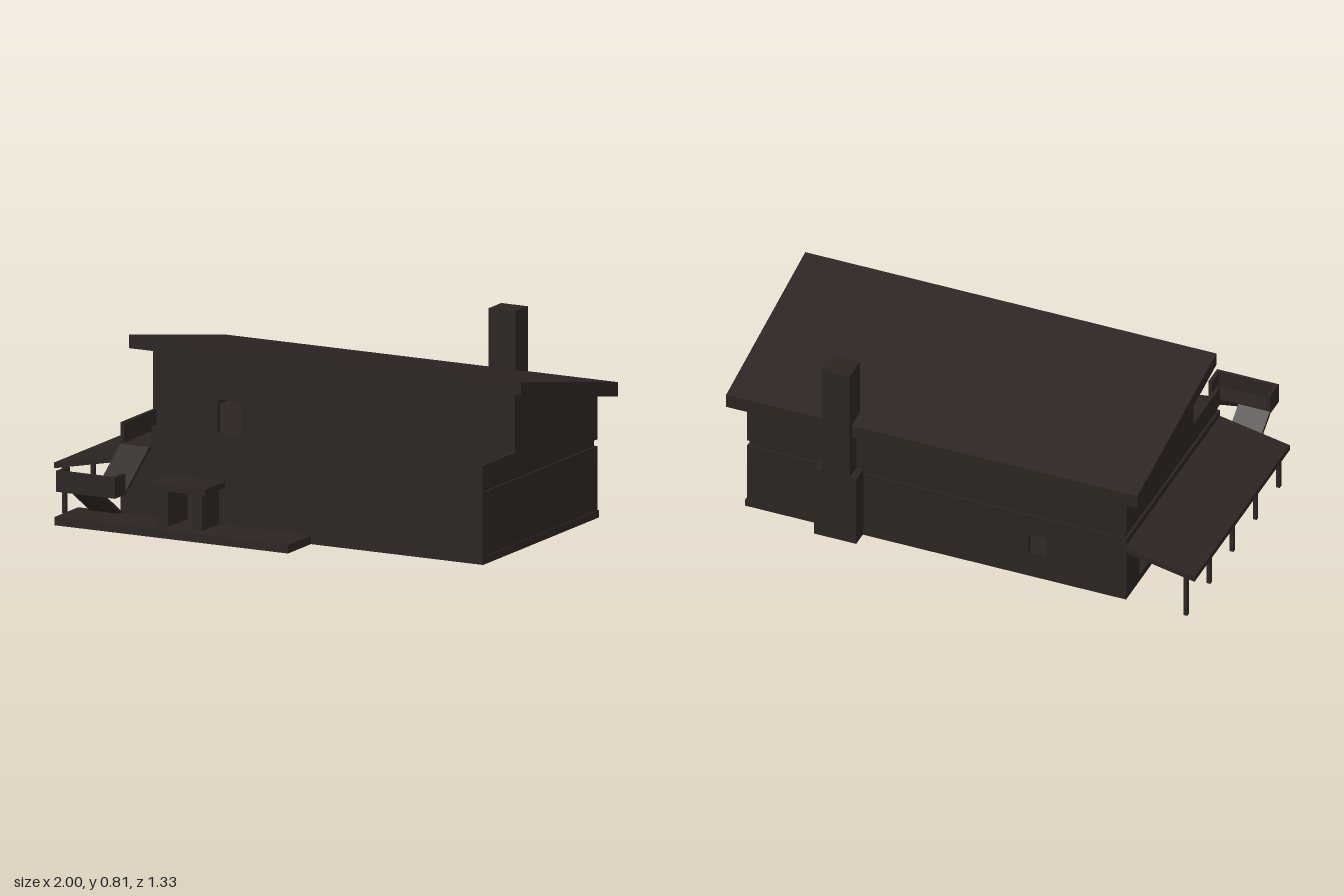
import * as THREE from 'three';

const material = new THREE.MeshStandardMaterial({ color: 0x2b2421 });

export function createModel() {
  const house = new THREE.Group();
  house.name = 'house';

  const add = (name, geometry) => {
    const mesh = new THREE.Mesh(geometry, material);
    mesh.name = name;
    house.add(mesh);
    return mesh;
  };

  // Box given by its limits on each axis
  const box = (name, x0, x1, y0, y1, z0, z1) => {
    const g = new THREE.BoxGeometry(x1 - x0, y1 - y0, z1 - z0);
    g.translate((x0 + x1) / 2, (y0 + y1) / 2, (z0 + z1) / 2);
    return add(name, g);
  };

  // Outline with rectangular holes [a0, a1, y0, y1], extruded
  const panel = (points, holes, depth) => {
    const shape = new THREE.Shape(points.map(([a, b]) => new THREE.Vector2(a, b)));
    for (const [a0, a1, y0, y1] of holes) {
      shape.holes.push(new THREE.Path([[a0, y0], [a0, y1], [a1, y1], [a1, y0]]
        .map(([a, b]) => new THREE.Vector2(a, b))));
    }
    return new THREE.ExtrudeGeometry(shape, { depth, bevelEnabled: false });
  };

  // Panel drawn in x, y and spanning z0..z1
  const wallZ = (name, points, z0, z1, holes = []) =>
    add(name, panel(points, holes, z1 - z0).translate(0, 0, z0));

  // Panel drawn in z, y and spanning x0..x1
  const wallX = (name, points, x0, x1, holes = []) =>
    add(name, panel(points, holes, x1 - x0).rotateY(-Math.PI / 2).translate(x1, 0, 0));

  const rect = (a0, a1, y0, y1) => [[a0, y0], [a1, y0], [a1, y1], [a0, y1]];

  const L = -0.7, R = 0.93, back = -0.59, front = 0.36, t = 0.02;

  // Base and front terrace
  box('plinth', L, R + 0.005, 0, 0.03, back - 0.005, front + 0.005);
  box('frontTerrace', -0.89, 0.16, 0, 0.034, front, 0.555);

  // Ground floor walls, with doorways in front, back and porch side
  wallZ('lowerFrontWall', rect(L, R, 0.03, 0.29), front - t, front, [[-0.41, -0.3, 0.031, 0.185]]);
  wallZ('lowerBackWall', rect(L, R, 0.03, 0.29), back, back + t, [[-0.355, -0.28, 0.11, 0.2]]);
  wallX('lowerRightWall', rect(back, front, 0.03, 0.29), R - t, R);
  wallX('lowerLeftWall', rect(back, front, 0.03, 0.29), L, L + t, [[-0.46, -0.38, 0.031, 0.18]]);

  // Floor between the storeys, set in to leave a shadow groove
  box('storeyFloor', L + 0.01, R - 0.01, 0.285, 0.318, back + 0.01, front - 0.004);

  // Upper storey below the sloping roof
  const upperFront = 0.09;
  const side = [[back, 0.317], [upperFront, 0.317], [upperFront, 0.64], [back, 0.502]];
  wallX('upperRightWall', side, R - t, R);
  wallX('upperLeftWall', side, L, L + t);
  wallZ('upperFrontWall', rect(L, R, 0.317, 0.637), upperFront - t, upperFront,
    [[-0.41, -0.3, 0.319, 0.47]]);
  wallZ('upperBackWall', rect(L, R, 0.317, 0.502), back, back + t);

  // Balcony parapets, with a gap where the stair arrives
  box('balconyFrontParapet', -0.56, R, 0.29, 0.4, front - 0.015, front);
  for (const x of [L, R - 0.015]) {
    box('balconySideParapet', x, x + 0.015, 0.317, 0.4, upperFront, front);
  }

  // Main roof slab
  wallX('mainRoof', [[-0.635, 0.49], [0.17, 0.655], [0.17, 0.71], [-0.635, 0.548]], -0.765, 1);

  // Chimney
  box('chimneyBase', 0.43, 0.61, 0, 0.315, -0.663, back);
  box('chimneyShaft', 0.46, 0.58, 0.3, 0.805, -0.66, -0.555);

  // Side porch
  wallZ('porchRoof', [[-1, 0.18], [L, 0.24], [L, 0.262], [-1, 0.203]], -0.61, front);
  for (let i = 0; i < 5; i++) {
    const z = -0.595 + i * 0.235;
    box('porchPost', -0.966, -0.95, 0, 0.19, z - 0.008, z + 0.008);
  }

  // Front entrance with canopy
  box('entranceCanopy', -0.485, -0.23, 0.185, 0.21, front, 0.525);
  for (const [x0, x1] of [[-0.46, -0.41], [-0.3, -0.257]]) {
    box('entrancePier', x0, x1, 0.03, 0.186, front, 0.5);
  }

  // Switchback stair: two flights meeting at an open landing
  wallX('lowerFlight', [[0.365, 0.02], [0.575, 0.162], [0.57, 0.178], [0.365, 0.038]], -0.825, -0.69);
  wallX('upperFlight', [[0.575, 0.162], [0.58, 0.174], [0.38, 0.318], [0.35, 0.318], [0.35, 0.304], [0.375, 0.304]],
    -0.69, -0.56);
  box('landingFloor', -0.825, -0.56, 0.165, 0.18, 0.575, 0.66);
  box('landingFrontParapet', -0.825, -0.56, 0.165, 0.25, 0.648, 0.663);
  for (const x of [-0.825, -0.575]) {
    box('landingSideParapet', x, x + 0.015, 0.165, 0.25, 0.575, 0.66);
  }

  return house;
}
